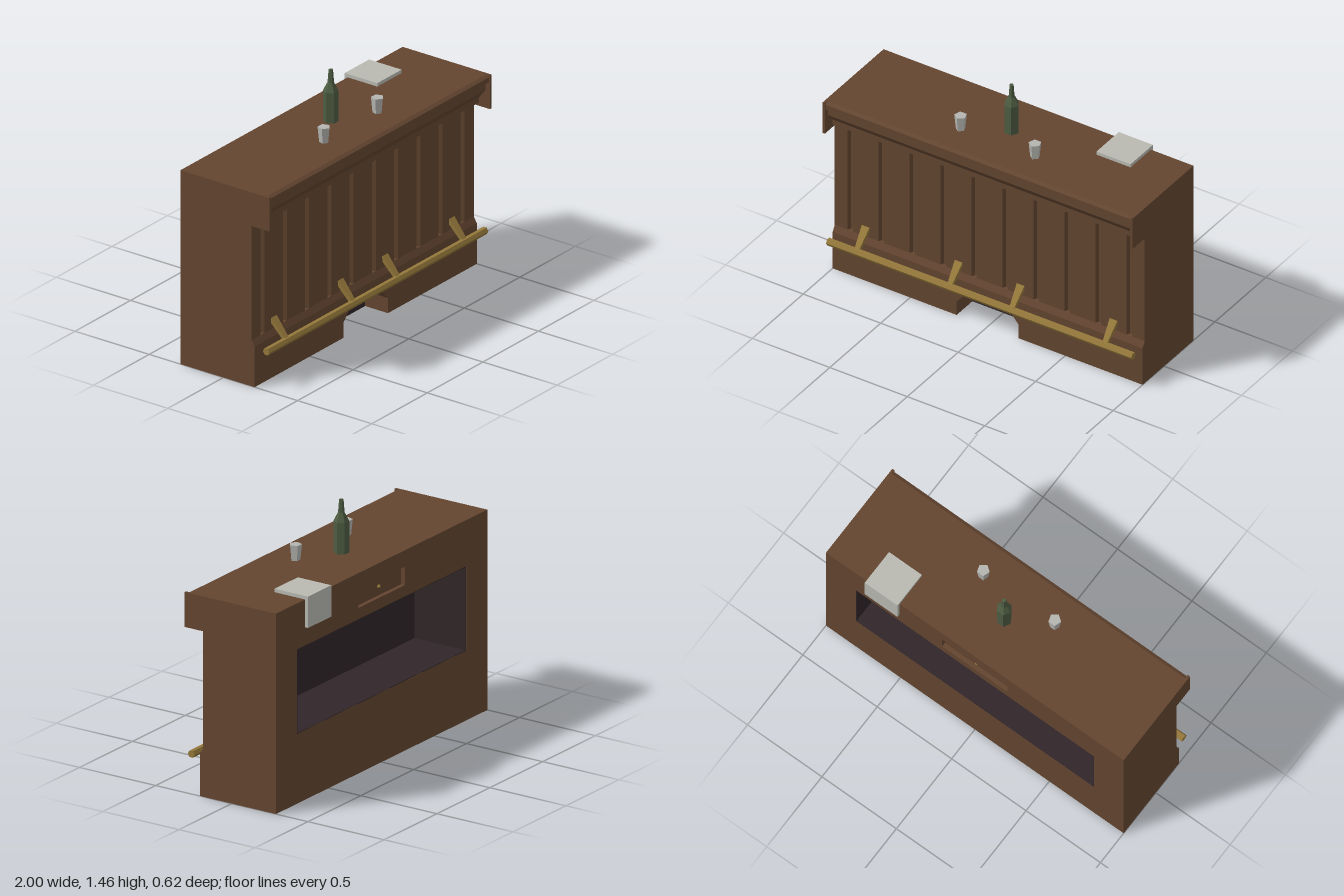
import * as THREE from 'three';

const mat = (name, color, flatShading = true) => {
  const m = new THREE.MeshStandardMaterial({ color, flatShading });
  m.name = name;
  return m;
};

const polygon = (pts) => new THREE.Shape(pts.map(([x, y]) => new THREE.Vector2(x, y)));
const rect = (x0, y0, x1, y1) => polygon([[x0, y0], [x1, y0], [x1, y1], [x0, y1]]);
const extrude = (shape, depth) => new THREE.ExtrudeGeometry(shape, { depth, bevelEnabled: false });

// Sweep a (z, y) profile along x, centred on x = 0
const sweepX = (profile, length) =>
  extrude(polygon(profile.map(([z, y]) => [-z, y])), length)
    .translate(0, 0, -length / 2).rotateY(Math.PI / 2);

// Box given by its minimum and maximum corners
const boxBetween = (x0, y0, z0, x1, y1, z1) =>
  new THREE.BoxGeometry(x1 - x0, y1 - y0, z1 - z0)
    .translate((x0 + x1) / 2, (y0 + y1) / 2, (z0 + z1) / 2);

export function createModel() {
  const group = new THREE.Group();
  const wood = mat('wood', 0x634530);
  const dark = mat('dark interior', 0x312629);
  const brass = mat('brass', 0x94783a);
  const green = mat('bottle green', 0x4d5c42);
  const glass = mat('glass', 0xb4b4b0);
  const cloth = mat('cloth', 0xb9b9b2);

  const add = (name, geometry, material) => {
    const mesh = new THREE.Mesh(geometry, material);
    mesh.name = name;
    group.add(mesh);
    return mesh;
  };

  // Rear carcass with the shelf opening and the drawer recess
  const back = rect(-1, 0, 1, 1.15);
  back.holes.push(rect(-0.8, 0.4, 0.8, 0.885), rect(-0.22, 0.95, 0.22, 1.055));
  add('carcass', extrude(back, 0.34).translate(0, 0, -0.29), wood);
  add('drawer', boxBetween(-0.22, 0.95, -0.265, 0.22, 1.055, 0.05), wood);
  add('drawerKnob', new THREE.SphereGeometry(0.011, 6, 4).translate(0, 1.005, -0.272), brass);

  // Dark lining of the shelf opening
  const t = 0.004;
  add('shelfFloor', boxBetween(-0.8, 0.4, -0.289, 0.8, 0.4 + t, 0.05), dark);
  add('shelfCeiling', boxBetween(-0.8, 0.885 - t, -0.289, 0.8, 0.885, 0.05), dark);
  add('shelfBack', boxBetween(-0.8, 0.4, 0.05 - t, 0.8, 0.885, 0.05), dark);
  for (const s of [-1, 1]) {
    add('shelfSide', new THREE.BoxGeometry(t, 0.485, 0.339)
      .translate(s * (0.8 - t / 2), 0.6425, -0.1195), dark);
  }

  // Plinth with a chamfered notch, and its sloping upper edge
  const plinth = polygon([[-1, 0], [-0.2, 0], [-0.2, 0.09], [-0.15, 0.145],
    [0.15, 0.145], [0.2, 0.09], [0.2, 0], [1, 0], [1, 0.24], [-1, 0.24]]);
  add('plinth', extrude(plinth, 0.16).translate(0, 0, 0.05), wood);
  add('notchBack', boxBetween(-0.2, 0, 0.05, 0.2, 0.15, 0.056), dark);
  add('plinthChamfer', sweepX([[0.05, 0.24], [0.21, 0.24], [0.19, 0.275], [0.05, 0.275]], 2), wood);

  // Front panelling with vertical grooves
  const front = [[-1, -0.05], [-1, -0.19]];
  for (let i = 0; i < 10; i++) {
    const x = -0.9 + i * 0.2;
    front.push([x - 0.018, -0.19], [x - 0.007, -0.17], [x + 0.007, -0.17], [x + 0.018, -0.19]);
  }
  front.push([1, -0.19], [1, -0.05]);
  add('frontPanelling', extrude(polygon(front), 0.68).rotateX(-Math.PI / 2).translate(0, 0.27, 0), wood);

  // Overhanging counter moulding between two end plates
  add('counterMoulding', sweepX([[0.05, 0.95], [0.19, 0.95], [0.235, 0.968], [0.235, 1.0],
    [0.28, 1.055], [0.28, 1.095], [0.305, 1.108], [0.305, 1.138], [0.285, 1.15], [0.05, 1.15]], 1.97), wood);
  for (const s of [-1, 1]) {
    add('counterEnd', new THREE.BoxGeometry(0.015, 0.2, 0.26).translate(s * 0.9925, 1.05, 0.18), wood);
  }

  // Foot rail on tapered brackets
  add('footRail', new THREE.CylinderGeometry(0.022, 0.022, 1.97, 6)
    .rotateZ(Math.PI / 2).translate(0, 0.222, 0.277), brass);
  const bracket = polygon([[-0.014, 0], [0.014, 0], [0.025, 0.145], [-0.025, 0.145]]);
  for (const x of [-0.8, -0.2, 0.2, 0.8]) {
    const mesh = add('railBracket', extrude(bracket, 0.022).translate(0, 0, -0.011), brass);
    mesh.rotation.x = -0.71;
    mesh.position.set(x, 0.225, 0.277);
  }

  // Bottle
  const bottle = [[0, 0], [0.043, 0], [0.043, 0.18], [0.018, 0.23], [0.012, 0.305], [0, 0.305]]
    .map(([r, y]) => new THREE.Vector2(r, y));
  add('bottle', new THREE.LatheGeometry(bottle, 6, Math.PI / 6), green).position.set(0, 1.15, -0.025);

  // Tumblers
  for (const x of [-0.24, 0.24]) {
    add('tumbler', new THREE.CylinderGeometry(0.036, 0.027, 0.09, 5), glass).position.set(x, 1.195, 0.11);
  }

  // Cloth folded over the rear edge
  add('cloth', sweepX([[-0.09, 1.15], [-0.09, 1.17], [-0.31, 1.17], [-0.31, 0.99],
    [-0.29, 0.99], [-0.29, 1.15]], 0.22).translate(0.615, 0, 0), cloth);

  return group;
}
